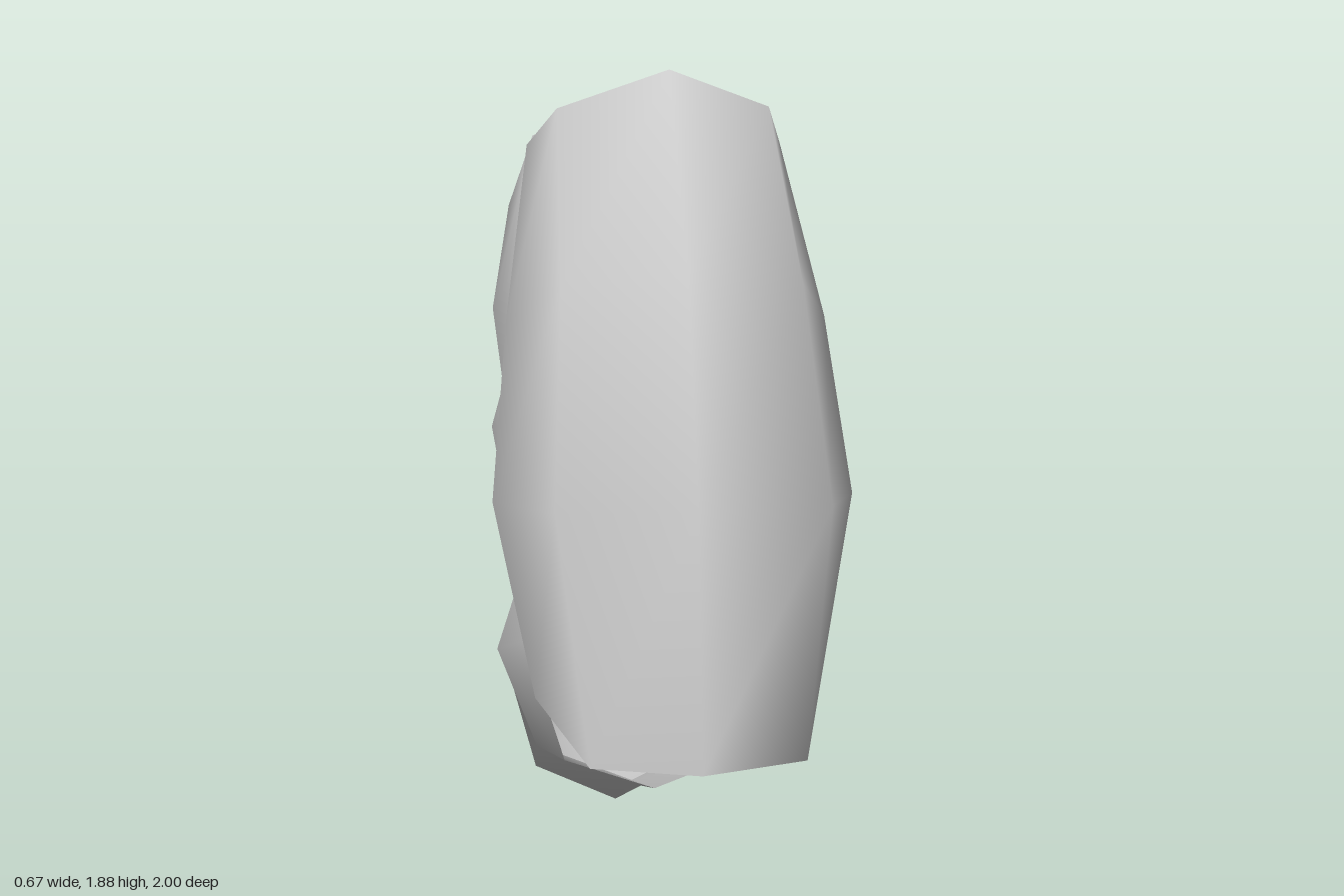
import * as THREE from 'three';

const SIDES = 8;

// Each ring: [front z, front y, back z, back y, half width, centre x, front shoulder, back shoulder]
// tip: [z, y]
const LOBES = [
  {
    name: 'frontLobe',
    rings: [
      [1.0, 0.75, 0.22, 0.75, 0.265, 0, 0.87],
      [0.92, 1.19, 0.16, 1.03, 0.335, 0, 0.85],
      [0.75, 1.56, 0.05, 1.28, 0.3, 0, 0.76],
      [0.44, 1.88, -0.06, 1.5, 0.247, 0, 0.6],
    ],
    tip: [0.11, 1.79],
  },
  {
    name: 'upperLobe',
    rings: [
      [0.58, 0.96, -0.01, 0.7, 0.27, 0.015, 0.76],
      [0.11, 1.6, -0.4, 1.09, 0.302, -0.01, 0.78],
      [-0.25, 1.77, -0.57, 1.235, 0.247, -0.018],
    ],
    tip: [-0.52, 1.57],
  },
  {
    name: 'rearLobe',
    rings: [
      [0.35, 0.97, -0.16, 0.44, 0.27, 0.015, 0.78],
      [-0.38, 1.32, -0.62, 0.68, 0.302, -0.01, 0.76],
      [-0.78, 1.34, -0.86, 0.72, 0.247, -0.018],
    ],
    tip: [-0.945, 1.05],
  },
  {
    name: 'lowerLobe',
    rings: [
      [0.07, 1.02, 0.08, 0.325, 0.275, 0.012, 0.75, 0.79],
      [-0.62, 0.76, -0.4, 0.13, 0.302, -0.008, 0.76],
      [-0.995, 0.5, -0.6, 0.0, 0.247, -0.018],
    ],
    tip: [-0.9, 0.17],
  },
];

// Open-based tube of oval rings closed by a low pointed dome
function lobeGeometry({ rings, tip }) {
  const positions = [];
  const index = [];
  const last = rings.length - 1;
  rings.forEach(([fz, fy, bz, by, w, x, front = Math.SQRT1_2, back = Math.SQRT1_2], i) => {
    const cy = (fy + by) / 2;
    const cz = (fz + bz) / 2;
    // Squarer corners on the end ring, whose sides lean toward the tip
    const corner = i === last ? 0.8 : Math.SQRT1_2;
    const lean = i === last ? 0.3 : 0;
    const across = [0, corner, 1, corner, 0, -corner, -1, -corner];
    const along = [1, front, 0, -back, -1, -back, 0, front];
    for (let k = 0; k < SIDES; k++) {
      const pull = along[k] === 0 ? lean : 0;
      positions.push(
        x + w * across[k],
        cy + ((fy - by) / 2) * along[k] + (tip[1] - cy) * pull,
        cz + ((fz - bz) / 2) * along[k] + (tip[0] - cz) * pull,
      );
    }
  });
  const pole = rings.length * SIDES;
  positions.push(rings[last][5], tip[1], tip[0]);

  for (let i = 0; i <= last; i++) {
    for (let k = 0; k < SIDES; k++) {
      const a = i * SIDES + k;
      const b = i * SIDES + ((k + 1) % SIDES);
      if (i === last) index.push(a, b, pole);
      else index.push(a, b, b + SIDES, a, b + SIDES, a + SIDES);
    }
  }
  const geometry = new THREE.BufferGeometry();
  geometry.setAttribute('position', new THREE.Float32BufferAttribute(positions, 3));
  geometry.setIndex(index);
  geometry.computeVertexNormals();
  return geometry;
}

export function createModel() {
  const group = new THREE.Group();
  group.name = 'curledLobes';
  const material = new THREE.MeshStandardMaterial({ color: 0xcccccc, side: THREE.DoubleSide });
  for (const lobe of LOBES) {
    const mesh = new THREE.Mesh(lobeGeometry(lobe), material);
    mesh.name = lobe.name;
    group.add(mesh);
  }
  return group;
}
